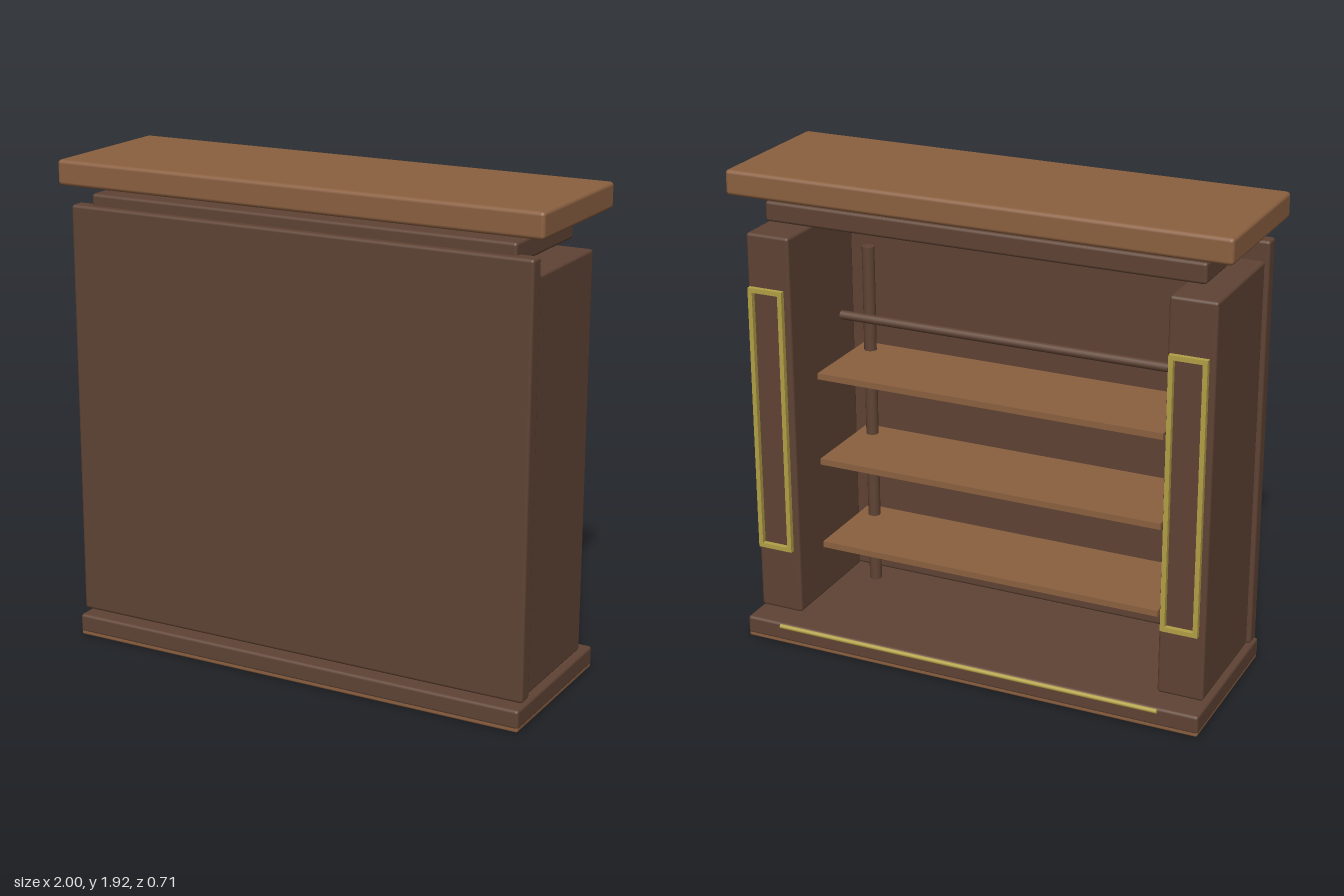
import * as THREE from 'three';
import { RoundedBoxGeometry } from 'three/addons/geometries/RoundedBoxGeometry.js';

export function createModel() {
  const model = new THREE.Group();
  model.name = 'barCounter';

  const material = (name, color) => {
    const m = new THREE.MeshStandardMaterial({ color });
    m.name = name;
    return m;
  };
  const darkWood = material('dark wood', 0x5f4334);
  const lightWood = material('light wood', 0x8b6040);
  const brass = material('brass', 0xb2a046);

  const add = (name, geometry, mat, x = 0, y = 0, z = 0, parent = model) => {
    const mesh = new THREE.Mesh(geometry, mat);
    mesh.name = name;
    mesh.position.set(x, y, z);
    parent.add(mesh);
    return mesh;
  };

  // Box given by its limits on each axis, with softened edges when r > 0
  const block = (name, mat, [x0, x1], [y0, y1], [z0, z1], r = 0.012, parent = model) => {
    const size = [x1 - x0, y1 - y0, z1 - z0];
    const geometry = r > 0 ? new RoundedBoxGeometry(...size, 2, r) : new THREE.BoxGeometry(...size);
    return add(name, geometry, mat, (x0 + x1) / 2, (y0 + y1) / 2, (z0 + z1) / 2, parent);
  };

  // Horizontal bar running along x
  const crossBar = (name, mat, radius, halfLength, y, z) => {
    const bar = add(name, new THREE.CylinderGeometry(radius, radius, halfLength * 2, 16), mat, 0, y, z);
    bar.rotation.z = Math.PI / 2;
  };

  // Plinth: light sole with a dark base over it
  block('plinthSole', lightWood, [-0.955, 0.955], [0, 0.05], [-0.333, 0.353], 0.008);
  block('plinth', darkWood, [-0.957, 0.957], [0.012, 0.087], [-0.335, 0.355]);

  // Front panel, upper moulding and counter top
  block('frontPanel', darkWood, [-0.957, 0.957], [0.102, 1.745], [0.257, 0.322]);
  block('upperMoulding', darkWood, [-0.88, 0.88], [1.71, 1.79], [-0.2, 0.295]);
  block('counterTop', lightWood, [-1, 1], [1.818, 1.917], [-0.28, 0.343], 0.015);

  // Three shelves
  for (const y of [0.38, 0.74, 1.1]) {
    block('shelf', lightWood, [-0.714, 0.714], [y - 0.025, y], [-0.135, 0.255], 0);
  }

  // Sides: end cabinet, shelf upright and brass frame
  for (const s of [-1, 1]) {
    const side = new THREE.Group();
    side.name = s > 0 ? 'leftSide' : 'rightSide';
    model.add(side);
    const span = (a, b) => (s > 0 ? [a, b] : [-b, -a]);

    block('endCabinet', darkWood, span(0.76, 0.942), [0.102, 1.67], [-0.245, 0.258], 0.012, side);
    add('shelfUpright', new THREE.CylinderGeometry(0.025, 0.025, 1.44, 16), darkWood, s * 0.652, 0.81, 0.185, side);

    const frame = new THREE.Group();
    frame.name = 'brassFrame';
    side.add(frame);
    const z = [-0.28, -0.26];
    for (const y of [0.38, 1.447]) block('frameRail', brass, span(0.777, 0.923), [y, y + 0.018], z, 0, frame);
    for (const x of [0.777, 0.905]) block('frameStile', brass, span(x, x + 0.018), [0.38, 1.465], z, 0, frame);
  }

  // Hanging rail above the shelves and thin foot rail at the back edge
  crossBar('hangingRail', darkWood, 0.018, 0.72, 1.27, 0.08);
  crossBar('footRail', brass, 0.009, 0.8, 0.081, -0.346);

  return model;
}
